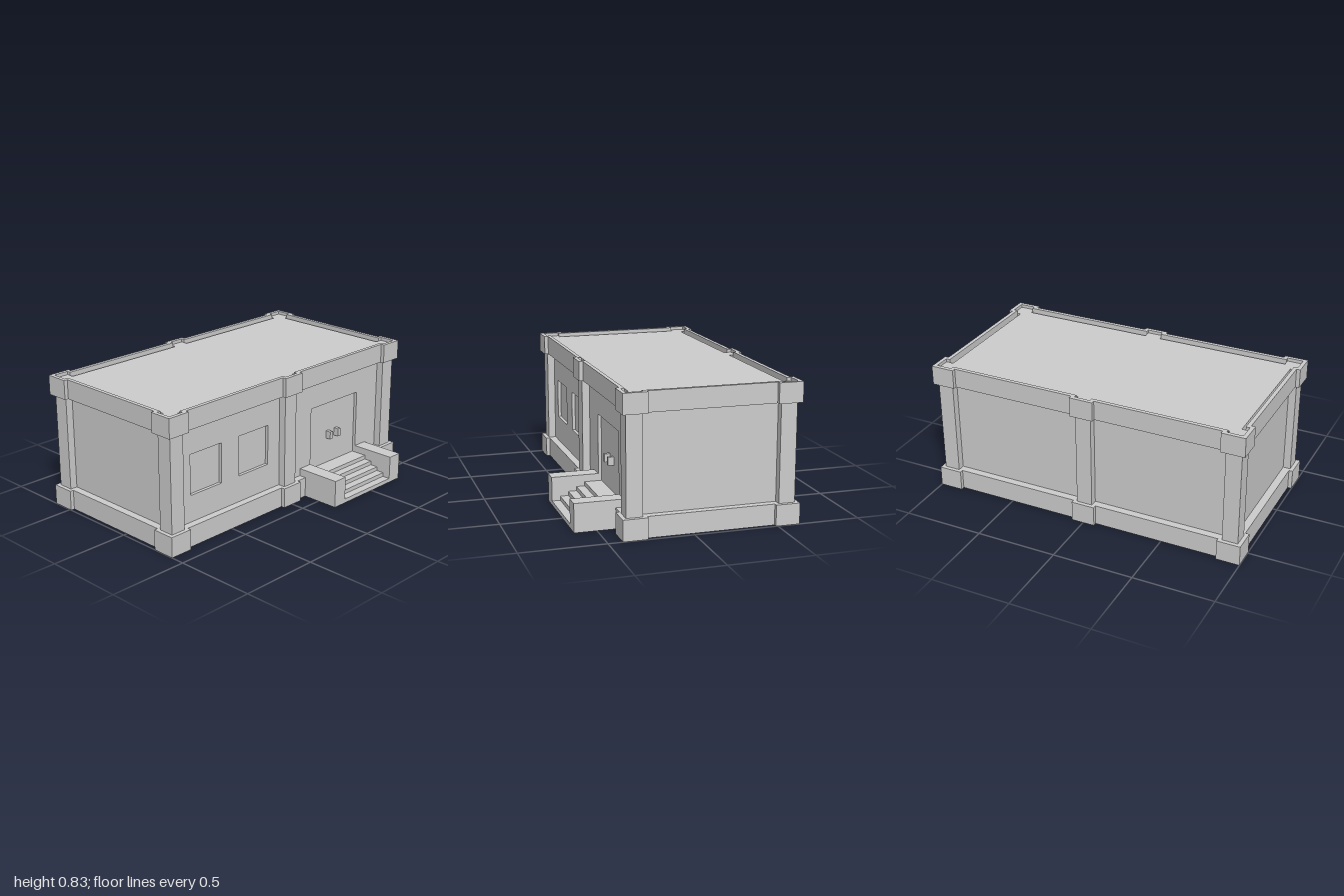
import * as THREE from 'three';

const CZ = -0.109; // centre of the building block, behind the stairs
const BASE = 0.125, ROOF = 0.81, TOP = 0.83;
const WALL_X = 0.93, WALL_Z = 0.454; // half sizes of the walls
const RECESS = 0.02;

// Footprint with square piers at the corners and at the middle of the long sides.
// X, Z: half sizes; t: pier projection; w: corner pier width; m: half mid pier width
function footprint(X, Z, t, w, m) {
  const q = [[m, Z], [m, Z - t], [X - w, Z - t], [X - w, Z], [X, Z], [X, Z - w], [X - t, Z - w]];
  const r = [...q].reverse();
  return [
    ...q,
    ...r.map(([x, z]) => [x, -z]),
    ...q.map(([x, z]) => [-x, -z]),
    ...r.map(([x, z]) => [-x, z]),
  ].map(([x, z]) => new THREE.Vector2(x, -z));
}

const rect = (x0, x1, y0, y1) =>
  [[x0, y0], [x1, y0], [x1, y1], [x0, y1]].map(([x, y]) => new THREE.Vector2(x, y));

export function createModel() {
  const group = new THREE.Group();
  const material = new THREE.MeshStandardMaterial({ color: 0xcccccc, flatShading: true });

  const add = (name, geometry) => {
    const mesh = new THREE.Mesh(geometry, material);
    mesh.name = name;
    group.add(mesh);
    return mesh;
  };
  const box = (name, x0, x1, y0, y1, z0, z1) =>
    add(name, new THREE.BoxGeometry(x1 - x0, y1 - y0, z1 - z0))
      .position.set((x0 + x1) / 2, (y0 + y1) / 2, (z0 + z1) / 2);
  // Extrude a footprint upward from y0 to y1
  const slab = (name, shape, y0, y1) => {
    const g = new THREE.ExtrudeGeometry(shape, { depth: y1 - y0, bevelEnabled: false });
    g.rotateX(-Math.PI / 2);
    add(name, g).position.set(0, y0, CZ);
  };

  // Plinth and the hollow parapet band share one outline
  const outer = () => new THREE.Shape(footprint(1, 0.524, 0.024, 0.145, 0.073));
  slab('plinth', outer(), 0, BASE);
  const band = outer();
  band.holes.push(new THREE.Path(footprint(0.976, 0.5, 0.024, 0.097, 0.049)));
  slab('parapet', band, 0.71, TOP);

  // Main block, set back at the front behind the pierced wall
  const front = CZ + WALL_Z;
  box('mainBlock', -WALL_X, WALL_X, BASE, ROOF, CZ - WALL_Z, front - RECESS);

  // Front wall with two windows and a doorway
  const wall = new THREE.Shape(rect(-WALL_X, WALL_X, BASE, ROOF));
  for (const [x0, x1, y0] of [[-0.785, -0.54, 0.29], [-0.395, -0.15, 0.29], [0.24, 0.68, 0.128]]) {
    wall.holes.push(new THREE.Path(rect(x0, x1, y0, 0.54)));
  }
  add('frontWall', new THREE.ExtrudeGeometry(wall, { depth: RECESS, bevelEnabled: false }))
    .position.z = front - RECESS;

  // Columns at the corners and mid walls
  for (const s of [-1, 1]) {
    const za = CZ + s * 0.403, zb = CZ + s * 0.5;
    const z0 = Math.min(za, zb), z1 = Math.max(za, zb);
    box('cornerColumn', -0.976, -0.879, BASE, ROOF, z0, z1);
    box('cornerColumn', 0.879, 0.976, BASE, ROOF, z0, z1);
    box('middleColumn', -0.049, 0.049, BASE, ROOF, z0, z1);
  }

  // Door handles
  for (const x of [0.422, 0.498]) {
    box('doorHandle', x - 0.012, x + 0.012, 0.295, 0.345, front - RECESS, front + 0.015);
  }

  // Stairs between two solid side walls
  for (let i = 0; i < 5; i++) {
    box('step', 0.24, 0.68, i * 0.0256, (i + 1) * 0.0256, front - 0.01, 0.633 - i * 0.0505);
  }
  box('stairSideWall', 0.145, 0.24, 0, 0.172, front - 0.01, 0.633);
  box('stairSideWall', 0.68, 0.775, 0, 0.172, front - 0.01, 0.633);

  return group;
}
